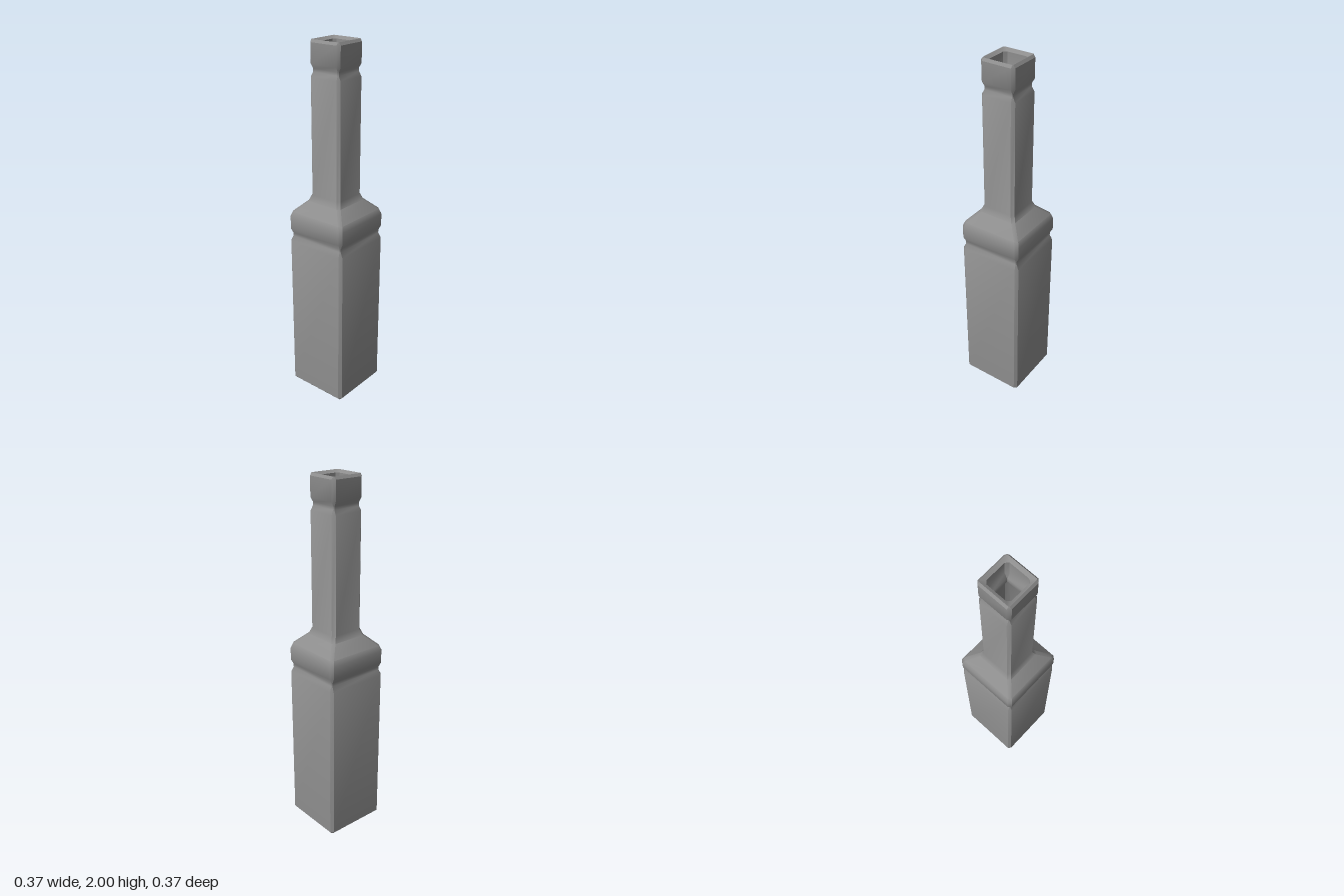
import * as THREE from 'three';
import { toCreasedNormals } from 'three/addons/utils/BufferGeometryUtils.js';

// Square ring with half width r and corner chamfer c, counter-clockwise seen from above
function ring(r, y, c) {
  const k = r - c;
  return [[r, k], [r, -k], [k, -r], [-k, -r], [-r, -k], [-r, k], [-k, r], [k, r]]
    .map(([x, z]) => [x, y, z]);
}

// Skin a list of [half width, height, chamfer] sections, closing any end of zero width
function loft(sections) {
  const pos = sections.flatMap(([r, y, c = 0.015]) => ring(r, y, c).flat());
  const index = [];
  for (let i = 0; i < sections.length - 1; i++) {
    for (let j = 0; j < 8; j++) {
      const a = i * 8 + j, b = i * 8 + (j + 1) % 8;
      if (sections[i][0] > 0) index.push(a, b, b + 8);
      if (sections[i + 1][0] > 0) index.push(a, b + 8, a + 8);
    }
  }
  const g = new THREE.BufferGeometry();
  g.setAttribute('position', new THREE.Float32BufferAttribute(pos, 3));
  g.setIndex(index);
  // Grooves and shoulder flow smoothly, chamfers and lip stay sharp
  return toCreasedNormals(g, THREE.MathUtils.degToRad(35));
}

export function createModel() {
  const group = new THREE.Group();
  group.name = 'squareBottle';
  const material = new THREE.MeshStandardMaterial({ color: 0x8d8d8d });
  const add = (name, sections) => {
    const mesh = new THREE.Mesh(loft(sections), material);
    mesh.name = name;
    group.add(mesh);
  };

  // Outside, from the base up to the crest of the lip
  add('outerShell', [
    [0, 0, 0], [0.17, 0, 0.004], [0.183, 0.014],
    [0.183, 0.915], [0.168, 0.945, 0.004], [0.168, 0.963, 0.004], [0.183, 0.992], // waist groove
    [0.183, 1.06], [0.172, 1.09], [0.111, 1.15], [0.097, 1.185],                  // shoulder
    [0.097, 1.815], [0.083, 1.84, 0.004], [0.083, 1.857, 0.004], [0.097, 1.882],  // neck groove
    [0.097, 1.986], [0.087, 2, 0.003],
  ]);

  // Inside, from the lip down to the floor, following the outside
  add('innerShell', [
    [0.087, 2, 0.003], [0.07, 1.986],
    [0.07, 1.89], [0.056, 1.865, 0.002], [0.056, 1.832, 0.002], [0.07, 1.807],
    [0.07, 1.178], [0.089, 1.133], [0.15, 1.072], [0.156, 1.055],
    [0.156, 0.998], [0.141, 0.97, 0.004], [0.141, 0.938, 0.004], [0.156, 0.91],
    [0.156, 0.035], [0.148, 0.027, 0.004], [0, 0.027, 0],
  ]);

  return group;
}
